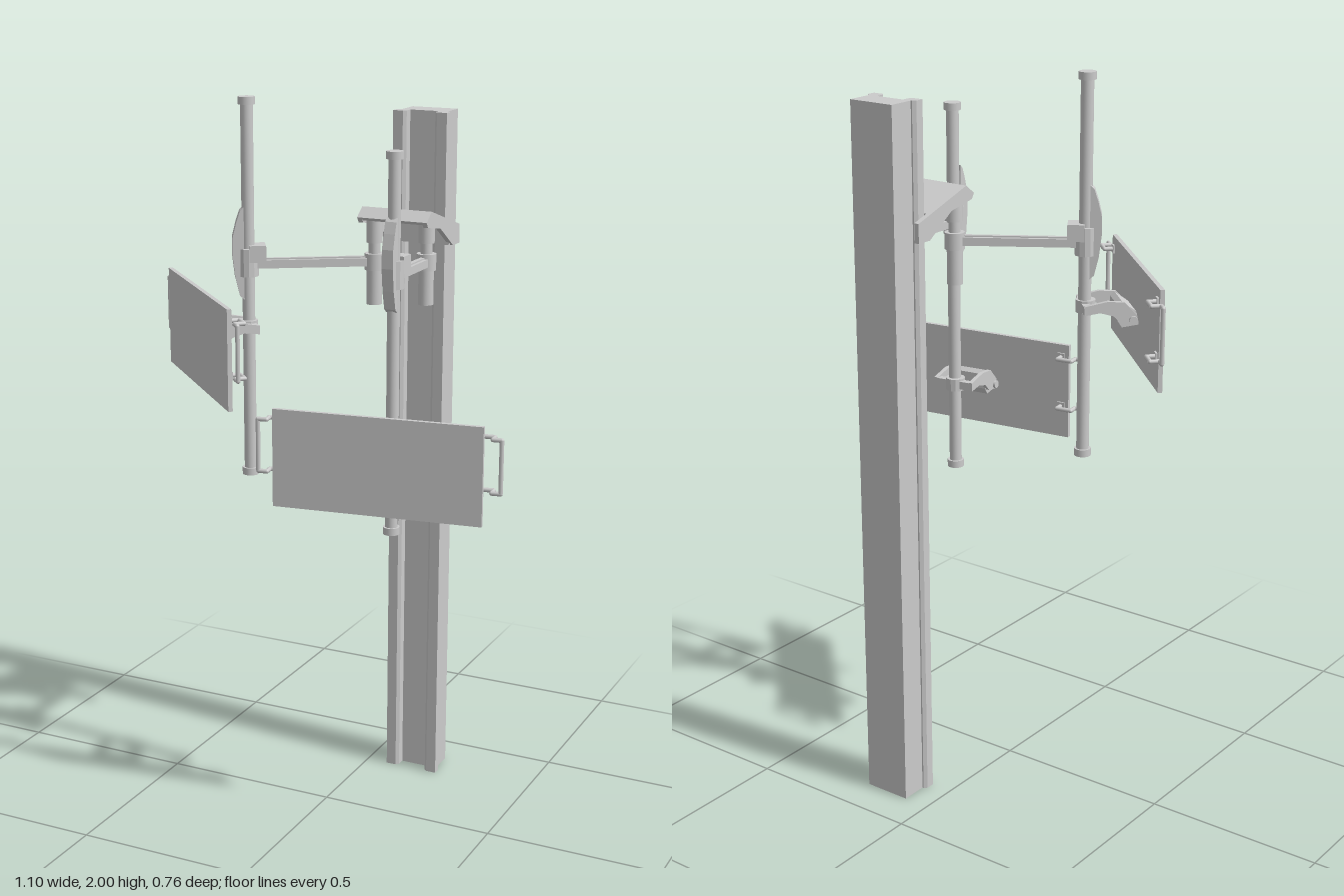
import * as THREE from 'three';

const mat = new THREE.MeshStandardMaterial({ color: 0xcccccc });
const flat = new THREE.MeshStandardMaterial({ color: 0xcccccc, flatShading: true });
const V = (x, y, z) => new THREE.Vector3(x, y, z);

function add(parent, name, geo, x = 0, y = 0, z = 0, m = mat) {
  const mesh = new THREE.Mesh(geo, m);
  mesh.name = name;
  mesh.position.set(x, y, z);
  parent.add(mesh);
  return mesh;
}
const box = (w, h, d) => new THREE.BoxGeometry(w, h, d);
const cyl = (r, h, n = 20) => new THREE.CylinderGeometry(r, r, h, n);

// Outline in (z, y), extruded along x and centred on it
function sideExtrude(pts, width) {
  const shape = new THREE.Shape(pts.map(p => new THREE.Vector2(p[0], p[1])));
  const geo = new THREE.ExtrudeGeometry(shape, { depth: width, bevelEnabled: false });
  return geo.translate(0, 0, -width / 2).rotateY(-Math.PI / 2);
}

// Round bar through a list of points, with ball joints at the bends
function bentRod(parent, name, pts, r) {
  const group = new THREE.Group();
  group.name = name;
  for (let i = 0; i < pts.length - 1; i++) {
    const a = pts[i], b = pts[i + 1];
    const mid = a.clone().add(b).multiplyScalar(0.5);
    const rod = add(group, 'rod', cyl(r, a.distanceTo(b), 10), mid.x, mid.y, mid.z);
    rod.quaternion.setFromUnitVectors(V(0, 1, 0), b.clone().sub(a).normalize());
    if (i > 0) add(group, 'bend', new THREE.SphereGeometry(r, 10, 6), a.x, a.y, a.z);
  }
  parent.add(group);
}

// Main column: solid back with two chamfered rails on the front
function column() {
  const half = [[0.067, -0.39], [0.067, -0.316], [0.071, -0.316], [0.079, -0.308], [0.079, -0.284],
    [0.05, -0.284], [0.042, -0.292], [0.042, -0.316]];
  const outline = [...half, ...half.slice().reverse().map(([x, z]) => [-x, z])];
  const shape = new THREE.Shape(outline.map(([x, z]) => new THREE.Vector2(x, -z)));
  const geo = new THREE.ExtrudeGeometry(shape, { depth: 1.945, bevelEnabled: false });
  return geo.rotateX(-Math.PI / 2);
}

// Sloped hood with two cheeks that grip the column
function hood() {
  const g = new THREE.Group();
  g.name = 'mountingHood';
  add(g, 'hoodPlate', sideExtrude([[-0.105, 1.678], [-0.138, 1.703], [-0.285, 1.655],
    [-0.285, 1.642], [-0.138, 1.69], [-0.112, 1.67]], 0.2));
  const cheek = [[-0.105, 1.678], [-0.138, 1.703], [-0.335, 1.64], [-0.335, 1.588],
    [-0.29, 1.588], [-0.2, 1.648], [-0.115, 1.663]];
  for (const s of [-1, 1]) add(g, 'hoodCheek', sideExtrude(cheek, 0.014), s * 0.0945, 0, 0);
  add(g, 'columnPlate', box(0.19, 0.06, 0.01), 0, 1.62, -0.28);
  return g;
}

// Swing arm: hanging pivot, beam, upright pole with caps, clamp and lever
function swingArm(name, pivot, pole, poleBottom) {
  const g = new THREE.Group();
  g.name = name;
  const [px, pz] = pivot, [qx, qz] = pole;
  add(g, 'pivotShaft', cyl(0.016, 0.15), px, 1.605, pz);
  add(g, 'pivotSleeve', cyl(0.021, 0.095), px, 1.485, pz);
  add(g, 'pivotCollar', cyl(0.027, 0.045), px, 1.555, pz);
  add(g, 'pivotTop', cyl(0.022, 0.07), px, 1.642, pz);

  // Beam frame: local +z runs from pivot to pole
  const beam = new THREE.Group();
  beam.name = 'beam';
  beam.position.set(qx, 0, qz);
  beam.rotation.y = Math.atan2(qx - px, qz - pz);
  const len = Math.hypot(qx - px, qz - pz);
  add(beam, 'beamBar', box(0.03, 0.022, len), 0, 1.555, -len / 2);
  add(beam, 'beamRib', box(0.012, 0.028, len), 0, 1.556, -len / 2);
  add(beam, 'clampBlock', box(0.056, 0.045, 0.045), 0, 1.585, -0.024);
  add(beam, 'clampRing', cyl(0.028, 0.075, 12), 0, 1.56, 0, flat);
  const lever = [[0.012, 1.46], [0.024, 1.47], [0.036, 1.52], [0.043, 1.58], [0.042, 1.63],
    [0.032, 1.67], [0.022, 1.7], [0.012, 1.71]];
  add(beam, 'lever', sideExtrude(lever, 0.032));
  g.add(beam);

  const h = 1.035;
  add(g, 'pole', cyl(0.017, h - 0.01), qx, poleBottom + h / 2, qz);
  for (const y of [0.01, h - 0.01]) add(g, 'poleCap', cyl(0.023, 0.02), qx, poleBottom + y, qz);
  return g;
}

// Flat panel with two side handles and a yoke that clamps to the pole behind
function panel(name, x, y, z, turn) {
  const g = new THREE.Group();
  g.name = name;
  g.position.set(x, y, z);
  g.rotation.y = turn;
  add(g, 'board', box(0.574, 0.27, 0.012));

  for (const s of [-1, 1]) {
    const leg = [[0.265, 0], [0.265, -0.033], [0.308, -0.033], [0.308, -0.008], [0.332, -0.008]];
    const at = h => leg.map(([lx, lz]) => V(s * lx, h, lz));
    bentRod(g, 'handle', [...at(0.1), ...at(-0.044).reverse()], 0.006);
    for (const h of [0.1, -0.044]) add(g, 'handleFoot', box(0.022, 0.022, 0.006), s * 0.265, h, -0.008);
  }

  // Yoke arms, arched in side outline
  const arm = [[-0.152, 0.032], [-0.152, 0.008], [-0.11, 0.014], [-0.075, 0.004], [-0.055, -0.016],
    [-0.016, -0.022], [-0.012, 0.006], [-0.045, 0.04], [-0.09, 0.044]];
  for (const s of [-1, 1]) {
    add(g, 'yokeArm', sideExtrude(arm, 0.012), s * 0.055, 0, 0);
  }
  // Sloped head between the arms, tilt pin and pole clamp
  add(g, 'yokeHead', sideExtrude([[-0.062, 0.03], [-0.05, 0.04], [-0.012, 0.012], [-0.004, -0.024],
    [-0.05, -0.03], [-0.062, -0.012]], 0.104));
  add(g, 'tiltPin', cyl(0.011, 0.136, 12).rotateZ(Math.PI / 2), 0, -0.008, -0.022);
  add(g, 'yokeBar', box(0.11, 0.022, 0.02), 0, 0.02, -0.143);
  add(g, 'yokeClamp', cyl(0.027, 0.034, 12), 0, 0.02, -0.138, flat);
  return g;
}

export function createModel() {
  const model = new THREE.Group();
  model.name = 'columnWithPanels';
  add(model, 'column', column(), 0.141, 0, 0);
  const top = hood();
  top.position.x = 0.141;
  model.add(top);
  model.add(swingArm('rightArm', [0.073, -0.146], [-0.216, 0.037], 0.965));
  model.add(swingArm('leftArm', [0.202, -0.201], [0.203, 0.015], 0.845));
  model.add(panel('rightPanel', -0.314, 1.365, 0.138, -0.777));
  model.add(panel('leftPanel', 0.219, 1.073, 0.15, 0.14));
  return model;
}
